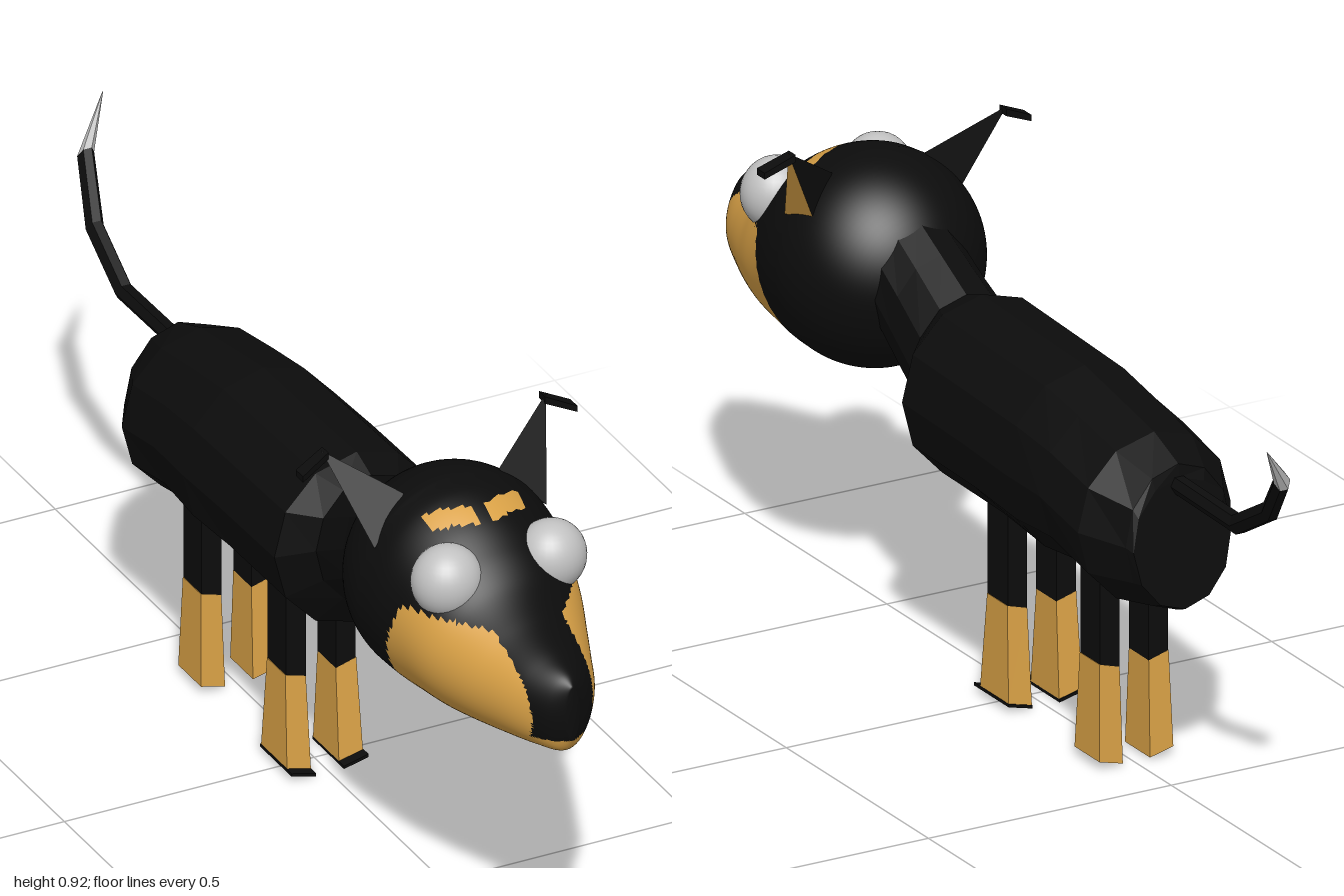
import * as THREE from 'three';

const V = (x, y, z) => new THREE.Vector3(x, y, z);
const material = (name, color) => {
  const m = new THREE.MeshStandardMaterial({ color });
  m.name = name;
  return m;
};

// Indexed geometry; side -1 mirrors it across x and keeps the faces outward
function build(points, tris, side = 1) {
  const geo = new THREE.BufferGeometry();
  geo.setFromPoints(points.map(p => V(p.x * side, p.y, p.z)));
  geo.setIndex(tris.flatMap(([a, b, c]) => (side > 0 ? [a, b, c] : [a, c, b])));
  return geo;
}

function flat(geo) {
  const g = geo.toNonIndexed();
  g.computeVertexNormals();
  return g;
}

// Triangles joining equal rings, closed by a fan at each end
function loft(rings) {
  const n = rings[0].length, points = rings.flat(), tris = [];
  for (let i = 0; i < rings.length - 1; i++) {
    for (let j = 0; j < n; j++) {
      const k = (j + 1) % n;
      const a = i * n + j, b = i * n + k, c = b + n, d = a + n;
      tris.push([a, b, c], [a, c, d]);
    }
  }
  const last = (rings.length - 1) * n;
  for (const start of [0, last]) {
    const centre = points.length;
    const ring = points.slice(start, start + n);
    points.push(ring.reduce((s, p) => s.add(p), V(0, 0, 0)).divideScalar(n));
    for (let j = 0; j < n; j++) {
      const a = start + j, b = start + (j + 1) % n;
      tris.push(start === last ? [centre, a, b] : [centre, b, a]);
    }
  }
  return { points, tris };
}

// Elliptical section across z
function oval(z, top, bottom, rx, n) {
  return Array.from({ length: n }, (_, j) => {
    const a = (j / n) * Math.PI * 2;
    return V(rx * Math.cos(a), (top + bottom) / 2 + (top - bottom) / 2 * Math.sin(a), z);
  });
}

// Rectangular section of a leg: tilted so the outer edge sits higher
function legRing(x0, x1, z0, z1, y, tilt) {
  return [V(x0, y, z1), V(x1, y + tilt, z1), V(x1, y + tilt, z0), V(x0, y, z0)];
}

export function createModel() {
  const model = new THREE.Group();
  model.name = 'dog';
  const black = material('black coat', 0x0c0c0c);
  const tan = material('tan markings', 0xd9a146);
  const grey = material('light grey', 0xc2c2c2);
  const add = (name, geo, mat) => {
    const mesh = new THREE.Mesh(geo, mat);
    mesh.name = name;
    model.add(mesh);
    return mesh;
  };

  // Head: round skull running into a tapering snout
  const rings = [];
  for (let i = 1; i <= 24; i++) {
    const a = (i / 24) * Math.PI / 2, s = Math.sin(a);
    rings.push(oval(0.545 - 0.203 * Math.cos(a), 0.655 + 0.203 * s, 0.655 - 0.203 * s, 0.2 * s, 96));
  }
  const profile = [ // z, top, bottom, half width
    [0.545, 0.858, 0.452, 0.2], [0.6, 0.85, 0.452, 0.194], [0.66, 0.825, 0.456, 0.18],
    [0.72, 0.785, 0.463, 0.165], [0.78, 0.74, 0.473, 0.143], [0.85, 0.708, 0.485, 0.115],
    [0.93, 0.683, 0.5, 0.08], [0.975, 0.667, 0.511, 0.047], [1, 0.65, 0.545, 0.012],
  ];
  const topCurve = new THREE.CatmullRomCurve3(profile.map(p => V(p[3], p[1], p[0])));
  const lowCurve = new THREE.CatmullRomCurve3(profile.map(p => V(p[3], p[2], p[0])));
  for (let i = 1; i <= 64; i++) {
    const t = topCurve.getPoint(i / 64), b = lowCurve.getPoint(i / 64);
    rings.push(oval(t.z, t.y, b.y, t.x, 96));
  }
  const head = loft(rings);

  // Tan cheeks, chin and brows are faces of the head
  const isTan = ({ x, y, z }) => {
    const ax = Math.abs(x), brow = z + 0.4 * ax;
    const cheek = y < 0.697 && z > 0.58 + (y - 0.45) * 0.35 && (y < 0.54 || ax > 0.02 + y * 0.07);
    const overEye = y > 0.8 && ax > 0.015 && ax < 0.095 && brow > 0.637 && brow < 0.675;
    return cheek || overEye;
  };
  const parts = [[], []];
  for (const t of head.tris) {
    const c = V(0, 0, 0);
    t.forEach(k => c.add(head.points[k]));
    parts[isTan(c.divideScalar(3)) ? 1 : 0].push(t);
  }
  const headGeo = build(head.points, [...parts[0], ...parts[1]]);
  headGeo.addGroup(0, parts[0].length * 3, 0);
  headGeo.addGroup(parts[0].length * 3, parts[1].length * 3, 1);
  headGeo.computeVertexNormals();
  add('head', headGeo, [black, tan]);

  // Faceted body and neck
  const body = loft([
    [-0.55, 0.6, 0.355, 0.1], [-0.525, 0.625, 0.345, 0.108], [-0.44, 0.657, 0.332, 0.157],
    [-0.31, 0.68, 0.36, 0.16], [-0.195, 0.7, 0.345, 0.163], [-0.05, 0.703, 0.36, 0.165],
    [0.165, 0.71, 0.362, 0.165], [0.22, 0.69, 0.435, 0.11], [0.31, 0.735, 0.487, 0.103],
    [0.4, 0.78, 0.55, 0.1],
  ].map(([z, t, b, w]) => oval(z, t, b, w, 12)));
  // Slant the rump so its top edge sits further forward
  body.points.forEach(p => { if (p.z < -0.54) p.z += (p.y - 0.355) * 0.09; });
  add('body', flat(build(body.points, body.tris)), black);

  // Tail, listed from the tip to the rump
  const tailRing = ([x, y, z, r]) => Array.from({ length: 6 }, (_, j) => {
    const a = (j / 6) * Math.PI * 2;
    return V(x + r * Math.cos(a), y + r * Math.sin(a), z + r * 0.5 * Math.sin(a));
  });
  const tailPath = [
    [0.095, 0.83, -1, 0.001], [0.034, 0.745, -0.948, 0.017], [0.004, 0.65, -0.855, 0.018],
    [0, 0.582, -0.735, 0.018], [0, 0.586, -0.5, 0.018],
  ];
  const tail = loft(tailPath.slice(1).map(tailRing));
  add('tail', flat(build(tail.points, tail.tris)), black);
  const tip = loft(tailPath.slice(0, 2).map(tailRing));
  add('tailTip', flat(build(tip.points, tip.tris)), grey);

  for (const side of [1, -1]) {
    const label = side > 0 ? 'left' : 'right';
    const addLoft = (name, sections, mat) => {
      const { points, tris } = loft(sections);
      add(label + name, flat(build(points, tris, side)), mat);
    };

    // Legs: straight black top, flared tan stocking
    const legs = [['Front', -0.045, 0.026, -0.058, 0.042], ['Rear', -0.37, -0.3, -0.378, -0.29]];
    for (const [name, z0, z1, f0, f1] of legs) {
      addLoft(name + 'Leg', [legRing(0.03, 0.07, z0, z1, 0.188, 0.012),
        legRing(0.03, 0.07, z0, z1, 0.43, 0)], black);
      addLoft(name + 'Stocking', [legRing(0.028, 0.076, f0, f1, 0.005, 0.012),
        legRing(0.03, 0.071, z0, z1, 0.188, 0.012)], tan);
    }
    addLoft('FrontSole', [legRing(0.028, 0.077, -0.06, 0.062, 0, 0.012),
      legRing(0.028, 0.077, -0.06, 0.062, 0.006, 0.012)], black);

    // Ear: pointed wedge with a tan outer face and a folded tip
    const ear = [V(0.225, 0.922, 0.462), V(0.172, 0.76, 0.566), V(0.15, 0.765, 0.5), V(0.095, 0.835, 0.53)];
    add(label + 'Ear', flat(build(ear, [[0, 3, 1], [0, 2, 3], [1, 3, 2]], side)), black);
    add(label + 'EarOuterFace', flat(build(ear, [[0, 1, 2]], side)), tan);
    const foldRing = (x, y, z, h, w) =>
      [V(x, y + h, z - w), V(x, y + h, z + w), V(x, y - h, z + w), V(x, y - h, z - w)];
    addLoft('EarFold', [foldRing(0.217, 0.915, 0.462, 0.007, 0.012),
      foldRing(0.275, 0.889, 0.474, 0.006, 0.014)], black);

    // Bulging eye
    const eye = add(label + 'Eye', new THREE.SphereGeometry(1, 32, 20), grey);
    eye.scale.set(0.066, 0.068, 0.062);
    eye.position.set(side > 0 ? 0.111 : -0.097, side > 0 ? 0.742 : 0.745, 0.7);
  }
  return model;
}
